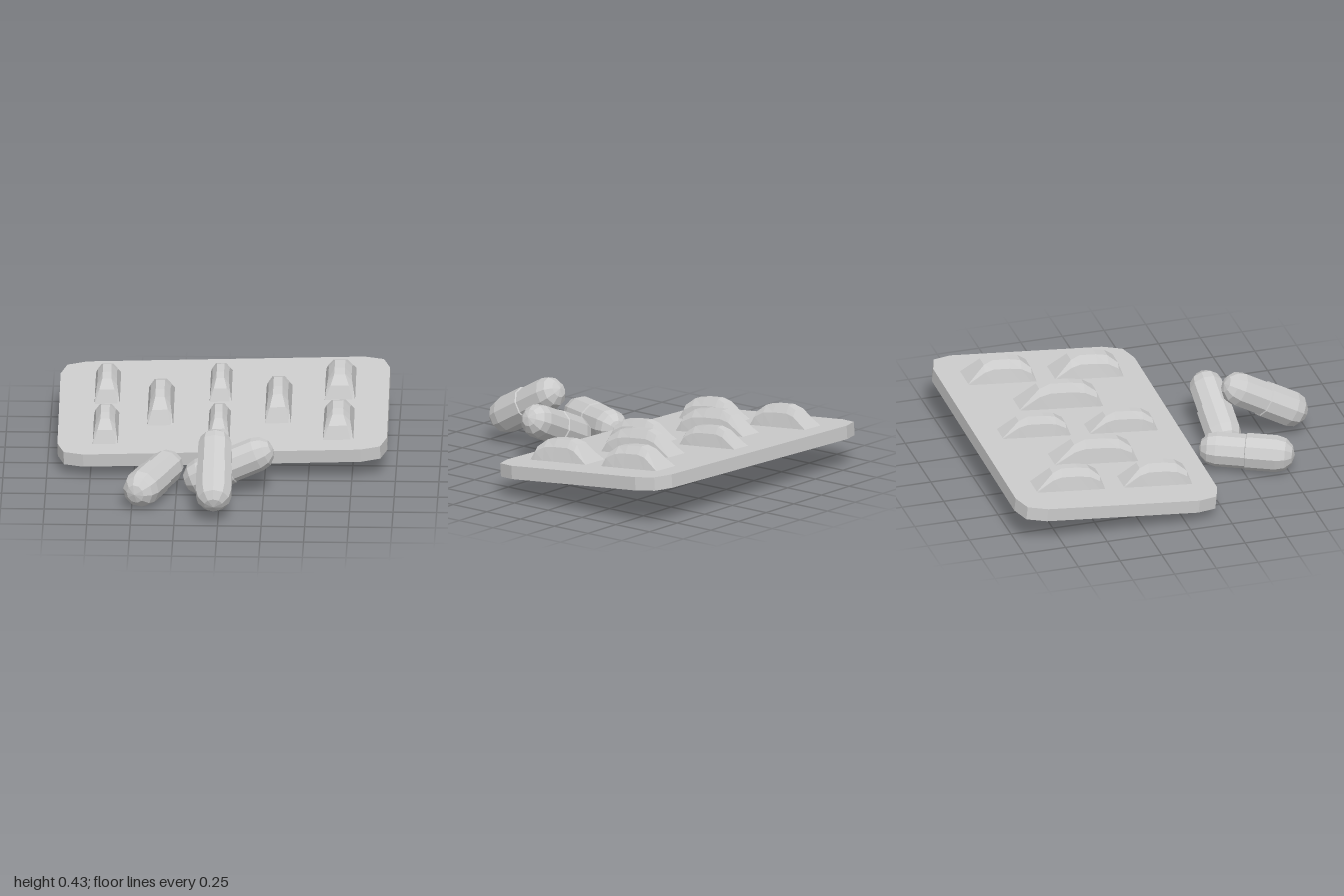
import * as THREE from 'three';

const grey = new THREE.MeshStandardMaterial({ color: 0xcccccc, flatShading: true });

function add(parent, name, geometry) {
  const mesh = new THREE.Mesh(geometry, grey);
  mesh.name = name;
  parent.add(mesh);
  return mesh;
}

// Slab with clipped, nearly round corners; its top lies at y = 0
function cardGeometry(w, d, thick, r) {
  const x = w / 2, y = d / 2;
  const s = new THREE.Shape();
  s.moveTo(-x + r, -y);
  s.lineTo(x - r, -y);
  s.quadraticCurveTo(x, -y, x, -y + r);
  s.lineTo(x, y - r);
  s.quadraticCurveTo(x, y, x - r, y);
  s.lineTo(-x + r, y);
  s.quadraticCurveTo(-x, y, -x, y - r);
  s.lineTo(-x, -y + r);
  s.quadraticCurveTo(-x, -y, -x + r, -y);
  const g = new THREE.ExtrudeGeometry(s, { depth: thick, bevelEnabled: false, curveSegments: 2 });
  return g.rotateX(-Math.PI / 2).translate(0, -thick, 0);
}

// Faceted blister lofted from front to back: [position, height, shoulder x, ridge x]
const SECTIONS = [
  [0, 0, 0.49, 0.4],
  [0.08, 0.6, 0.45, 0.3],
  [0.23, 0.93, 0.4, 0.18],
  [0.4, 1, 0.38, 0.17],
  [0.64, 1, 0.38, 0.17],
  [0.77, 0.82, 0.41, 0.23],
  [1, 0, 0.49, 0.42],
];

function blisterGeometry(w, h, len) {
  const pos = [], index = [];
  for (const [t, k, shoulder, ridge] of SECTIONS) {
    const z = len * (0.5 - t);
    const arch = [[0.5, 0], [shoulder, 0.66], [ridge, 1], [-ridge, 1], [-shoulder, 0.66], [-0.5, 0]];
    for (const [x, y] of arch) pos.push(x * w, y * k * h, z);
  }
  for (let i = 0; i < SECTIONS.length - 1; i++) {
    for (let j = 0; j < 5; j++) {
      const a = i * 6 + j, b = a + 6;
      index.push(a, b, a + 1, a + 1, b, b + 1);
    }
  }
  const g = new THREE.BufferGeometry();
  g.setAttribute('position', new THREE.Float32BufferAttribute(pos, 3));
  g.setIndex(index);
  g.computeVertexNormals();
  return g;
}

// Two-part capsule between the centres of its round ends; the first half is the wider sleeve
function addCapsule(parent, name, from, to) {
  const a = new THREE.Vector3(...from), b = new THREE.Vector3(...to);
  const half = a.distanceTo(b) / 2, R = 0.107, r = 0.1;
  const profile = [];
  for (let i = 0; i <= 3; i++) {
    const t = (i / 3) * Math.PI / 2;
    profile.push(new THREE.Vector2(R * Math.sin(t), -half - R * Math.cos(t)));
  }
  profile.push(new THREE.Vector2(R, 0), new THREE.Vector2(r, 0.004));
  for (let i = 3; i >= 0; i--) {
    const t = (i / 3) * Math.PI / 2;
    profile.push(new THREE.Vector2(r * Math.sin(t), half + r * Math.cos(t)));
  }
  const mesh = add(parent, name, new THREE.LatheGeometry(profile, 10));
  mesh.position.copy(a).add(b).multiplyScalar(0.5);
  mesh.quaternion.setFromUnitVectors(new THREE.Vector3(0, 1, 0), b.sub(a).normalize());
}

export function createModel() {
  const model = new THREE.Group();
  model.name = 'pillPack';

  // Tilted blister pack
  const pack = new THREE.Group();
  pack.name = 'blisterPack';
  pack.position.set(0, 0.221, -0.385);
  pack.rotation.set(0.095, 0.006, 0.027);
  model.add(pack);
  add(pack, 'card', cardGeometry(1.89, 1.215, 0.078, 0.15));

  // Blisters: x, z, width, height, length
  const blisters = [
    [-0.36, -0.39, 0.15, 0.135, 0.5],
    [0.315, -0.39, 0.15, 0.14, 0.5],
  ];
  for (const z of [-0.64, -0.115]) {
    blisters.push([-0.67, z, 0.145, 0.125, 0.41]);
    blisters.push([-0.02, z, 0.125, 0.115, 0.41]);
    blisters.push([0.665, z, 0.175, 0.125, 0.41]);
  }
  for (const [x, z, w, h, len] of blisters) {
    add(pack, 'blister', blisterGeometry(w, h, len)).position.set(x, -0.001, z + 0.385);
  }

  // Loose capsules piled in front
  addCapsule(model, 'leaningCapsule', [-0.025, 0.165, 0.893], [-0.025, 0.337, 0.587]);
  addCapsule(model, 'middleCapsule', [-0.105, 0.107, 0.47], [0.213, 0.247, 0.47]);
  addCapsule(model, 'sideCapsule', [-0.443, 0.112, 0.685], [-0.31, 0.125, 0.365]);

  return model;
}
